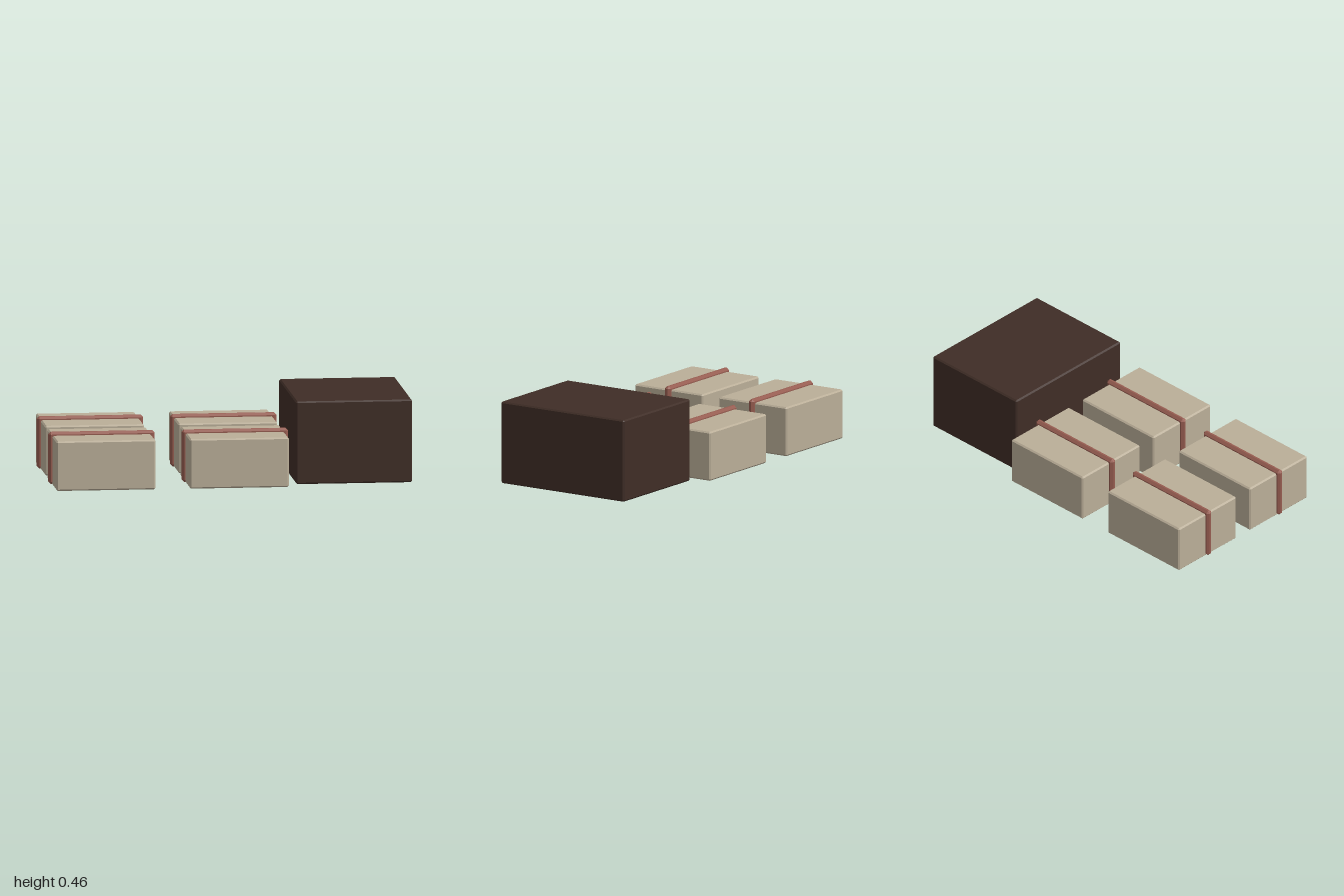
import * as THREE from 'three';
import { ConvexGeometry } from 'three/addons/geometries/ConvexGeometry.js';

const material = (color) => new THREE.MeshStandardMaterial({ color, flatShading: true });

// Box with every edge cut by a flat chamfer c
function chamferedBox(w, h, d, c) {
  const points = [];
  for (const x of [-1, 1]) for (const y of [-1, 1]) for (const z of [-1, 1]) {
    for (let axis = 0; axis < 3; axis++) {
      const inset = [c, c, c];
      inset[axis] = 0;
      points.push(new THREE.Vector3(
        x * (w / 2 - inset[0]), y * (h / 2 - inset[1]), z * (d / 2 - inset[2])));
    }
  }
  return new ConvexGeometry(points);
}

// Mesh whose underside sits at height y
function block(name, [w, h, d], c, mat, y = 0) {
  const mesh = new THREE.Mesh(chamferedBox(w, h, d, c), mat);
  mesh.name = name;
  mesh.position.y = y + h / 2;
  return mesh;
}

export function createModel() {
  const model = new THREE.Group();
  model.name = 'crateStack';

  const paleCard = material(0xbaae98);
  const strapRed = material(0x965c50);
  const darkWood = material(0x3f2d26);

  // Large dark crate
  const crate = block('largeCrate', [0.643, 0.46, 0.824], 0.008, darkWood);
  crate.position.x = 0.677;
  model.add(crate);

  // Four pale boxes, each with a band over the top and down both ends
  for (const x of [-0.706, 0.031]) {
    for (const z of [-0.28, 0.28]) {
      const parcel = new THREE.Group();
      parcel.name = 'strappedBox';
      parcel.add(block('box', [0.548, 0.276, 0.455], 0.008, paleCard));
      const strap = block('strap', [0.588, 0.29, 0.037], 0.013, strapRed, 0.005);
      strap.position.z = 0;
      parcel.add(strap);
      parcel.position.set(x, 0, z);
      model.add(parcel);
    }
  }
  return model;
}
